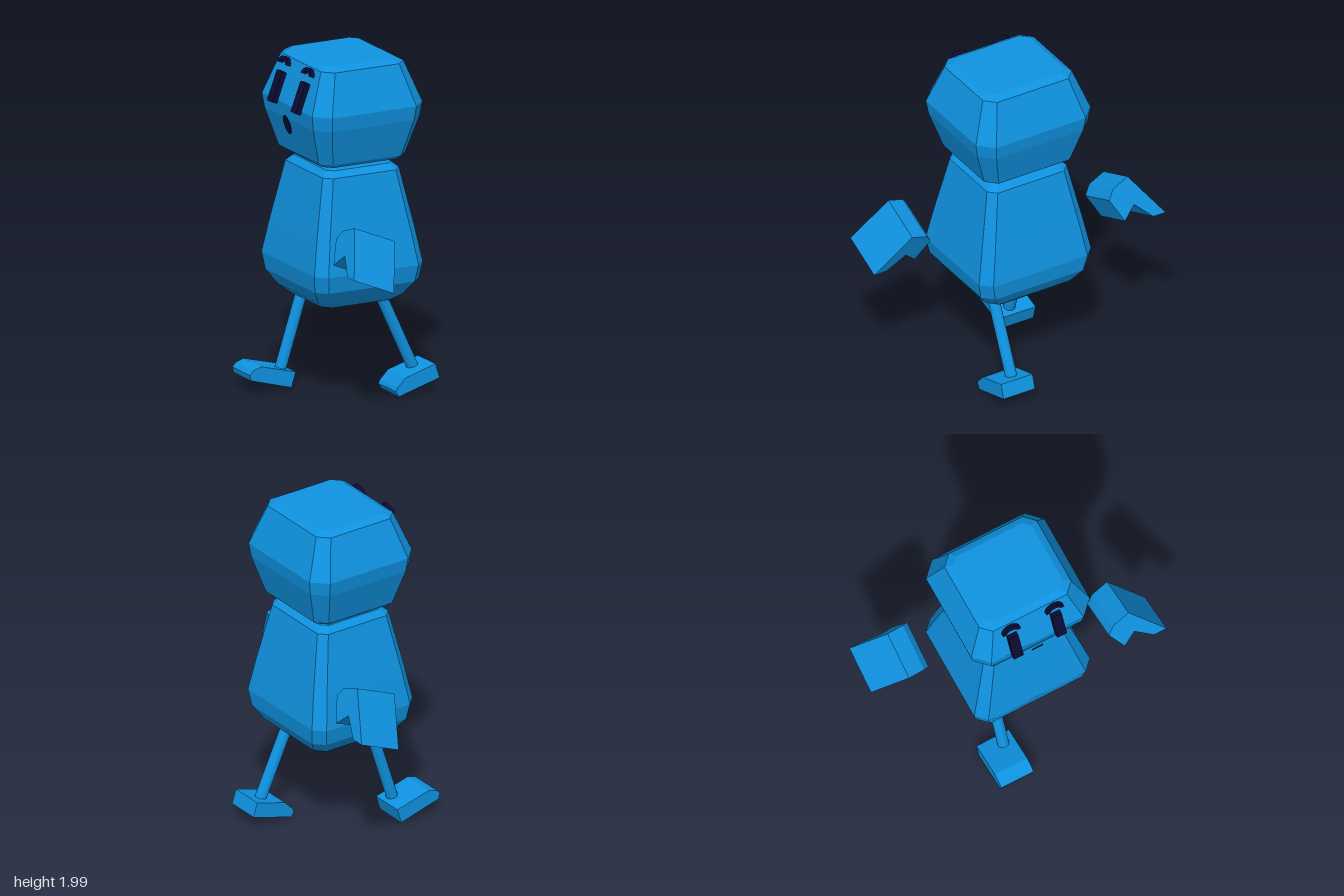
import * as THREE from 'three';

const blue = new THREE.MeshStandardMaterial({ color: 0x0f92e0, flatShading: true });
const navy = new THREE.MeshStandardMaterial({ color: 0x0a0a32, flatShading: true });
const CX = 0.033; // body axis in x

function add(parent, name, geometry, material = blue) {
  const mesh = new THREE.Mesh(geometry, material);
  mesh.name = name;
  parent.add(mesh);
  return mesh;
}

// Stack of rectangles with cut corners; each ring is [y, halfX, halfZ, corner]
function faceted(rings) {
  const loops = rings.map(([y, a, b, c]) => [
    [a, b - c], [a, c - b], [a - c, -b], [c - a, -b],
    [-a, c - b], [-a, b - c], [c - a, b], [a - c, b],
  ].map(([x, z]) => [x + CX, y, z]));
  const p = [];
  const tri = (a, b, c) => p.push(...a, ...b, ...c);
  for (let i = 0; i + 1 < loops.length; i++) {
    const lo = loops[i], hi = loops[i + 1];
    for (let j = 0; j < 8; j++) {
      const k = (j + 1) % 8;
      tri(lo[j], lo[k], hi[k]);
      tri(lo[j], hi[k], hi[j]);
    }
  }
  const bottom = loops[0], top = loops[loops.length - 1];
  for (let j = 1; j < 7; j++) {
    tri(top[0], top[j], top[j + 1]);
    tri(bottom[0], bottom[j + 1], bottom[j]);
  }
  const g = new THREE.BufferGeometry();
  g.setAttribute('position', new THREE.Float32BufferAttribute(p, 3));
  g.computeVertexNormals();
  return g;
}

// Outline extruded along z, centred on z = 0
function slab(shape, depth) {
  return new THREE.ExtrudeGeometry(shape, { depth, bevelEnabled: false, curveSegments: 10 })
    .translate(0, 0, -depth / 2);
}

const outline = (pts) => new THREE.Shape(pts.map(([x, y]) => new THREE.Vector2(x, y)));

// Places a mesh by its local x and y directions
function orient(mesh, x, y, position) {
  const X = new THREE.Vector3(...x).normalize();
  const Y = new THREE.Vector3(...y).normalize();
  const m = new THREE.Matrix4().makeBasis(X, Y, X.clone().cross(Y));
  mesh.quaternion.setFromRotationMatrix(m);
  mesh.position.set(...position);
}

function leg(parent, name, from, to) {
  const a = new THREE.Vector3(...from), b = new THREE.Vector3(...to);
  const mesh = add(parent, name, new THREE.CylinderGeometry(0.034, 0.034, a.distanceTo(b), 16));
  mesh.position.copy(a).lerp(b, 0.5);
  mesh.quaternion.setFromUnitVectors(new THREE.Vector3(0, 1, 0), a.sub(b).normalize());
}

export function createModel() {
  const model = new THREE.Group();
  model.name = 'walkingFigure';

  add(model, 'body', faceted([
    [0.565, 0.235, 0.23, 0.05],
    [0.61, 0.288, 0.295, 0.055],
    [0.69, 0.338, 0.355, 0.06],
    [0.79, 0.352, 0.375, 0.06],
    [1.0, 0.316, 0.335, 0.055],
    [1.34, 0.248, 0.267, 0.045],
    [1.375, 0.21, 0.23, 0.035],
  ]));

  add(model, 'head', faceted([
    [1.405, 0.25, 0.268, 0.05],
    [1.43, 0.282, 0.297, 0.06],
    [1.65, 0.346, 0.37, 0.08],
    [1.735, 0.358, 0.384, 0.085],
    [1.975, 0.268, 0.298, 0.06],
    [2.0, 0.225, 0.255, 0.04],
  ]));

  // Legs, one forward and one back
  leg(model, 'leftLeg', [0.125, 0.7, 0.195], [0.393, 0.12, 0.195]);
  leg(model, 'rightLeg', [-0.08, 0.7, -0.19], [-0.268, 0.11, -0.19]);

  // Feet, tilted with the stride, toes towards -x
  add(model, 'leftFoot', slab(outline([
    [0.495, 0.087], [0.468, 0.172], [0.273, 0.114], [0.22, 0.06], [0.21, 0.04], [0.23, 0.008],
  ]), 0.21)).position.z = 0.21;
  add(model, 'rightFoot', slab(outline([
    [-0.203, 0.108], [-0.425, 0.167], [-0.48, 0.15], [-0.5, 0.125], [-0.493, 0.093], [-0.23, 0.018],
  ]), 0.21)).position.z = -0.225;

  // Bent arms hovering beside the body, swung in opposite directions
  const armShape = outline([
    [0.637, 0], [0.53, -0.042], [0.49, -0.1], [0.562, -0.245],
    [0.64, -0.168], [0.745, -0.272], [0.827, -0.272],
  ]);
  for (const [name, s, x, y] of [['leftArm', 1, -0.105, 1.092], ['rightArm', -1, 0.167, 1.113]]) {
    const arm = add(model, name, slab(armShape, 0.282));
    orient(arm, [0, 0, s], [0.39 * s, 0.92, 0], [x, y, 0]);
  }

  // Face on the -x side
  const face = new THREE.Group();
  face.name = 'face';
  model.add(face);
  const brow = new THREE.Shape();
  brow.moveTo(-0.058, -0.022);
  brow.quadraticCurveTo(-0.045, 0.02, 0, 0.022);
  brow.quadraticCurveTo(0.045, 0.02, 0.058, -0.022);
  brow.lineTo(0.036, -0.022);
  brow.quadraticCurveTo(0.025, -0.002, 0, -0.002);
  brow.quadraticCurveTo(-0.025, -0.002, -0.036, -0.022);
  const upper = [0.351, 0.936, 0];
  for (const s of [-1, 1]) {
    const z = s * 0.14;
    const eye = add(face, 'eye', new THREE.BoxGeometry(0.062, 0.185, 0.034), navy);
    orient(eye, [0, 0, 1], upper, [-0.314, 1.807, z]);
    const eyebrow = add(face, 'eyebrow', slab(brow, 0.026), navy);
    orient(eyebrow, [0, 0, 1], upper, [-0.262, 1.957, z]);
  }
  const mouthShape = new THREE.Shape().absellipse(0, 0, 0.036, 0.06, 0, Math.PI * 2);
  const mouth = add(face, 'mouth', slab(mouthShape, 0.006), navy);
  orient(mouth, [0, 0, 1], [-0.29, 0.957, 0], [-0.323, 1.617, 0]);

  return model;
}
